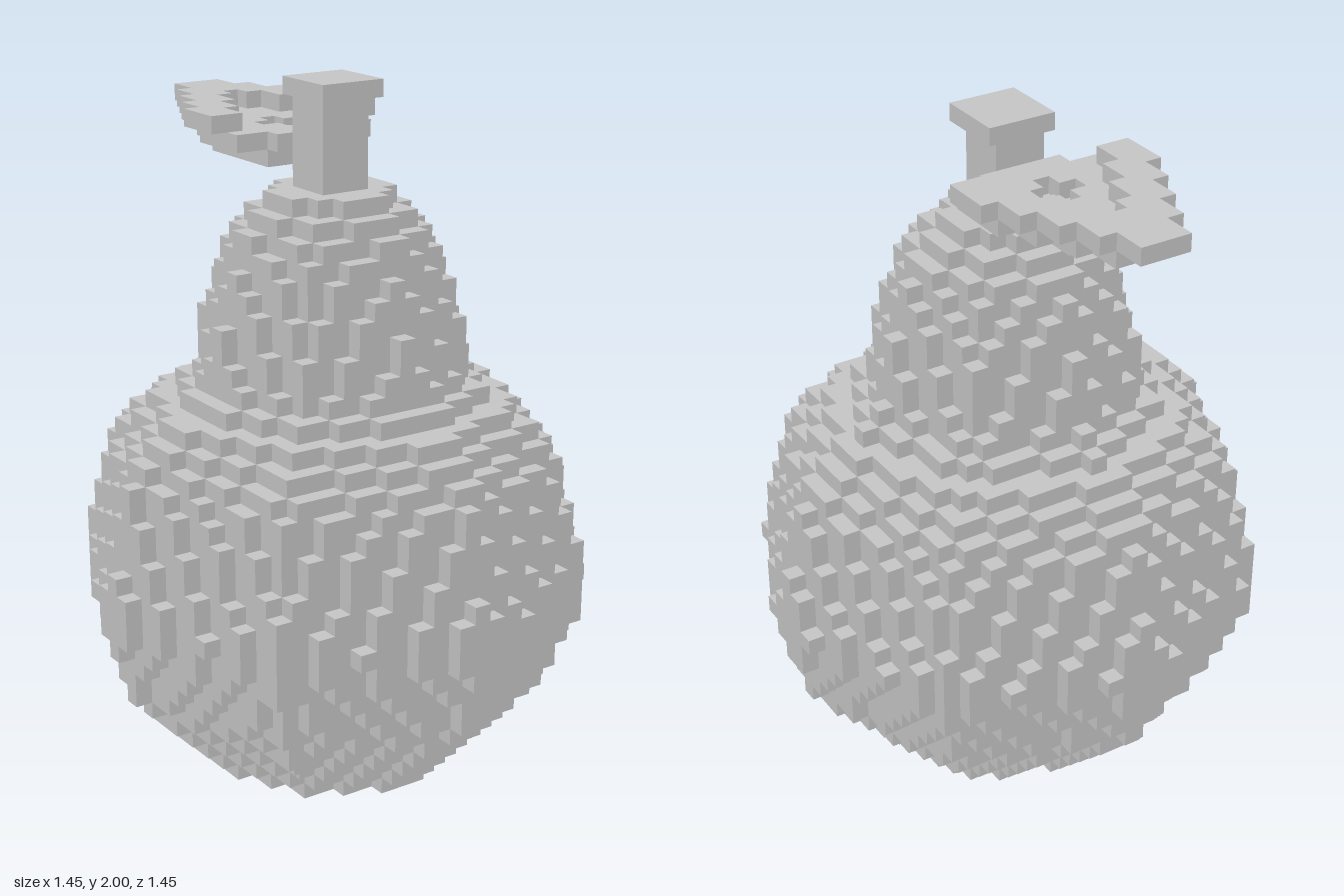
import * as THREE from 'three';

const S = 0.05; // voxel edge; cells are centred on x, z multiples of S and stacked up from y = 0

// Mesh of the exposed voxel faces of solid(x, y, z) within the given cell ranges
function voxelMesh(name, solid, min, max, material) {
  const pos = [], nor = [], index = [];
  for (let x = min[0]; x <= max[0]; x++)
    for (let y = min[1]; y <= max[1]; y++)
      for (let z = min[2]; z <= max[2]; z++) {
        if (!solid(x, y, z)) continue;
        for (let a = 0; a < 3; a++)
          for (const s of [-1, 1]) {
            const n = [0, 0, 0];
            n[a] = s;
            if (solid(x + n[0], y + n[1], z + n[2])) continue;
            const u = (a + 1) % 3, v = (a + 2) % 3, base = pos.length / 3;
            for (const [p, q] of [[-1, -1], [1, -1], [1, 1], [-1, 1]]) {
              const c = [x, y + 0.5, z];
              c[a] += s / 2;
              c[u] += p / 2;
              c[v] += q / 2;
              pos.push(c[0] * S, c[1] * S, c[2] * S);
              nor.push(...n);
            }
            const order = s > 0 ? [0, 1, 2, 0, 2, 3] : [0, 2, 1, 0, 3, 2];
            index.push(...order.map(i => base + i));
          }
      }
  const g = new THREE.BufferGeometry();
  g.setAttribute('position', new THREE.Float32BufferAttribute(pos, 3));
  g.setAttribute('normal', new THREE.Float32BufferAttribute(nor, 3));
  g.setIndex(index);
  const mesh = new THREE.Mesh(g, material);
  mesh.name = name;
  return mesh;
}

// Fruit: an octagon in each voxel row, ridges on the axes; corner radii from bottom to top, in voxels
const RADII = [
  7.6, 8.6, 9.6, 10.6, 11.6, 12.4, 13.15, 13.5, 13.8, 14.3, 14.6, 14.77,
  14.6, 14.3, 14.0, 13.85, 13.65, 13.4, 13.15, 12.5, 11.6, 10.6, 9.0, 8.0,
  7.6, 7.4, 7.2, 7.0, 6.7, 6.4, 6.0, 5.5, 4.6, 3.6];
const SLOPE = Math.tan(Math.PI / 8);
function fruit(x, y, z) {
  if (y < 0 || y >= RADII.length) return false;
  const a = Math.abs(x - 0.1), b = Math.abs(z + 0.1);
  return Math.max(a, b) + SLOPE * Math.min(a, b) <= RADII[y];
}

// Square stalk with an overhanging cap
const stem = (x, y, z) =>
  (y >= 34 && y <= 39 && Math.abs(x) <= 1 && Math.abs(z) <= 1) ||
  (y === 39 && x >= -1 && x <= 2 && z >= -2 && z <= 1);

// Cupped leaf: half widths along its length, starting at z = -2 cells
const LEAF = [2, 4, 5, 5, 5, 4, 4, 3, 3, 2, 2, 1, 1];
const HOLLOW = [9, 9, 3, 3, 2, 2, 1, 1, 0];
function leaf(x, y, z) {
  const i = -z - 2, w = Math.abs(x);
  if (i < 0 || i >= LEAF.length) return false;
  if (y === 37) return w <= LEAF[i] && w > (HOLLOW[i] ?? -1);
  const well = z <= -4 && z >= -6 && w + Math.abs(z + 5) <= 1;
  if (y === 36) return i <= 10 && w <= LEAF[i] - (i > 1 ? 1 : 0) && !well;
  return y === 35 && x >= -2 && x <= 1 && z <= -3 && z >= -8;
}

export function createModel() {
  const grey = new THREE.MeshStandardMaterial({ color: 0xc8c8c8 });
  grey.name = 'grey';
  const group = new THREE.Group();
  group.name = 'voxelPear';
  group.add(
    voxelMesh('fruit', fruit, [-15, 0, -15], [15, 33, 15], grey),
    voxelMesh('stem', stem, [-1, 34, -2], [2, 39, 1], grey),
    voxelMesh('leaf', leaf, [-5, 35, -14], [5, 37, -2], grey));
  return group;
}
